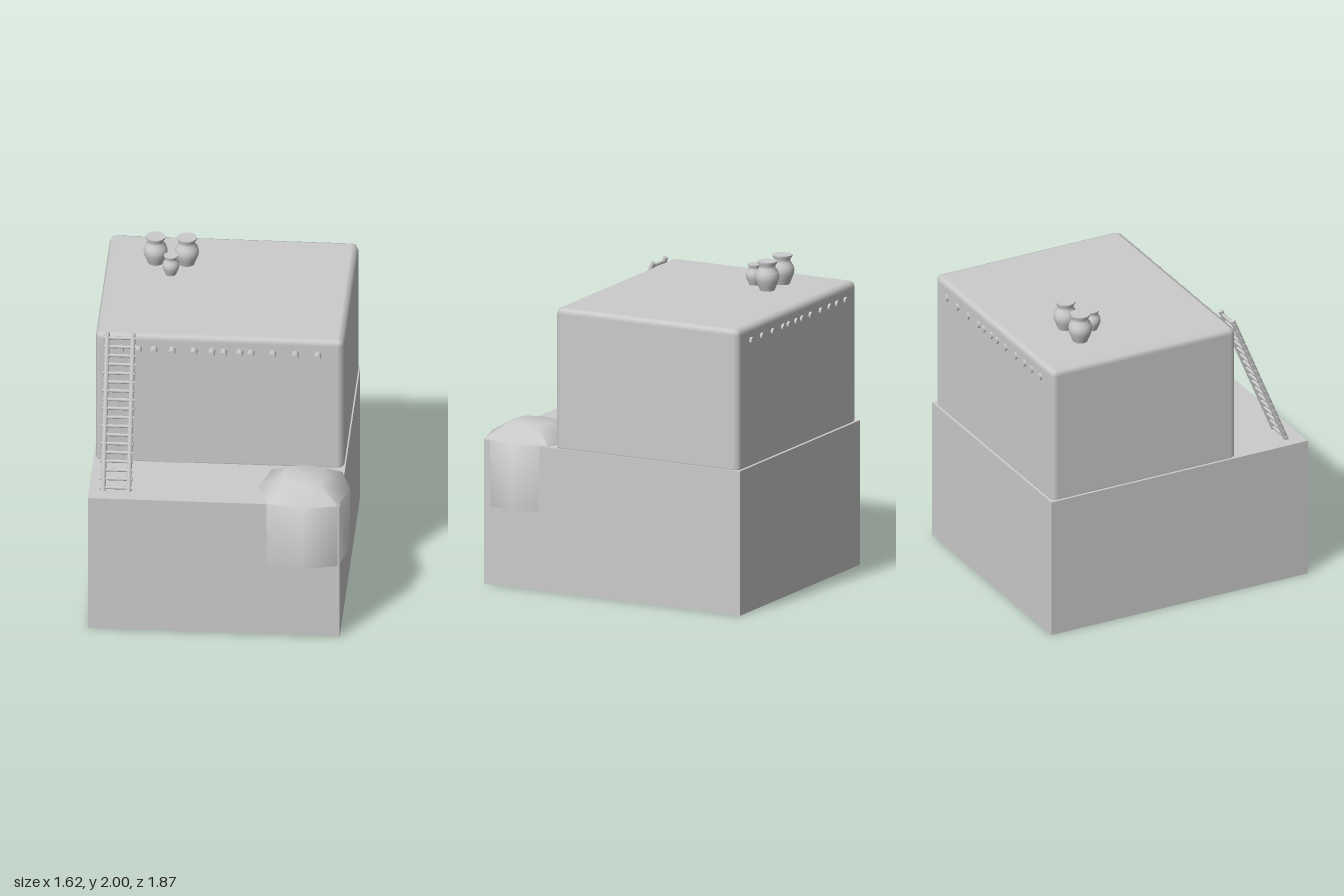
import * as THREE from 'three';
import { mergeVertices, toCreasedNormals } from 'three/addons/utils/BufferGeometryUtils.js';
import { RoundedBoxGeometry } from 'three/addons/geometries/RoundedBoxGeometry.js';

const solid = new THREE.MeshStandardMaterial({ color: 0xcccccc });
const thin = new THREE.MeshStandardMaterial({ color: 0xcccccc, side: THREE.DoubleSide });

export function createModel() {
  const model = new THREE.Group();

  const add = (name, geometry, x, y, z, material = solid, parent = model) => {
    const mesh = new THREE.Mesh(geometry, material);
    mesh.name = name;
    mesh.position.set(x, y, z);
    parent.add(mesh);
    return mesh;
  };

  // Round pole between two points
  const pole = (name, a, b, radius, sides, parent) => {
    const from = new THREE.Vector3(...a), to = new THREE.Vector3(...b);
    const dir = to.clone().sub(from);
    const mid = from.clone().add(to).multiplyScalar(0.5);
    const mesh = add(name, new THREE.CylinderGeometry(radius, radius, dir.length(), sides), mid.x, mid.y, mid.z, solid, parent);
    mesh.quaternion.setFromUnitVectors(new THREE.Vector3(0, 1, 0), dir.normalize());
  };

  const lathe = (points, sides) =>
    new THREE.LatheGeometry(points.map(([r, y]) => new THREE.Vector2(r, y)), sides);

  // Base block, open underneath
  const baseGeo = new THREE.BoxGeometry(1.565, 0.92, 1.805);
  const faces = Array.from(baseGeo.index.array);
  faces.splice(18, 6);
  baseGeo.setIndex(faces);
  baseGeo.clearGroups();
  add('base', baseGeo, -0.0275, 0.46, -0.0325, thin);

  // House body with softened edges
  const left = -0.797, right = 0.747, back = -0.92, front = 0.375, roof = 1.815, floor = 0.89;
  add('house', new RoundedBoxGeometry(right - left, roof - floor, front - back, 1, 0.04),
    (left + right) / 2, (roof + floor) / 2, (front + back) / 2);

  // Flat openings: name, width, height, centre, rotation
  const gap = 0.003;
  const opening = (name, w, h, x, y, z, rx = 0, ry = 0) =>
    add(name, new THREE.PlaneGeometry(w, h), x, y, z, thin).rotation.set(rx, ry, 0);
  opening('door', 0.25, 0.48, -0.367, 1.16, front + gap);
  opening('frontWindow', 0.17, 0.27, 0.302, 1.28, front + gap);
  for (const x of [0.448, -0.068, -0.517])
    opening('backWindow', 0.17, 0.27, x, 1.28, back - gap, 0, Math.PI);
  opening('sideWindow', 0.17, 0.27, left - gap, 1.28, -0.535, 0, -Math.PI / 2);
  opening('roofHatch', 0.255, 0.2, -0.025, roof + gap, -0.705, -Math.PI / 2);

  // Roof beams running through the house
  const beams = new THREE.Group();
  beams.name = 'roofBeams';
  model.add(beams);
  for (const x of [-0.64, -0.53, -0.433, -0.32, -0.185, -0.074, 0, 0.1, 0.17, 0.305, 0.445, 0.585])
    pole('beam', [x, 1.718, -0.935], [x, 1.718, 0.433], 0.022, 12, beams);

  // Ladder leaning on the front wall
  const ladder = new THREE.Group();
  ladder.name = 'ladder';
  model.add(ladder);
  const foot = [0.91, 0.767], head = [1.828, 0.387];
  for (const x of [-0.722, -0.563])
    pole('ladderRail', [x, ...foot], [x, ...head], 0.016, 10, ladder);
  const rungs = 18;
  for (let i = 0; i < rungs; i++) {
    const t = 0.03 + 0.94 * i / (rungs - 1);
    const y = foot[0] + (head[0] - foot[0]) * t;
    const z = foot[1] + (head[1] - foot[1]) * t;
    pole('ladderRung', [-0.742, y, z], [-0.543, y, z], 0.011, 8, ladder);
  }

  // Jars on the roof
  const jarGeo = toCreasedNormals(lathe([
    [0, 0], [0.046, 0], [0.058, 0.03], [0.072, 0.065], [0.075, 0.09], [0.068, 0.118],
    [0.052, 0.142], [0.05, 0.158], [0.062, 0.175], [0.062, 0.185], [0.05, 0.185], [0, 0.183]
  ], 24), 0.8);
  for (const [x, z, s] of [[-0.49, -0.56, 1], [-0.295, -0.56, 1], [-0.385, -0.42, 0.71]])
    add('jar', jarGeo, x, roof, z).scale.setScalar(s);

  // Eight-sided oven at the corner, fuller on its diagonals
  let ovenGeo = lathe([[0, 0], [0.281, 0], [0.283, 0.425], [0.135, 0.515], [0, 0.515]], 8);
  const p = ovenGeo.attributes.position;
  for (let i = 0; i < p.count; i++) {
    const x = p.getX(i), z = p.getZ(i);
    const bulge = Math.min(Math.abs(x), Math.abs(z)) > 0.01 ? 1.1 : 1;
    p.setXYZ(i, x * bulge, p.getY(i), z * bulge);
  }
  ovenGeo.deleteAttribute('uv');
  ovenGeo.deleteAttribute('normal');
  ovenGeo = toCreasedNormals(mergeVertices(ovenGeo), 1.2);
  add('oven', ovenGeo, 0.522, 0.5, 0.652);

  return model;
}
